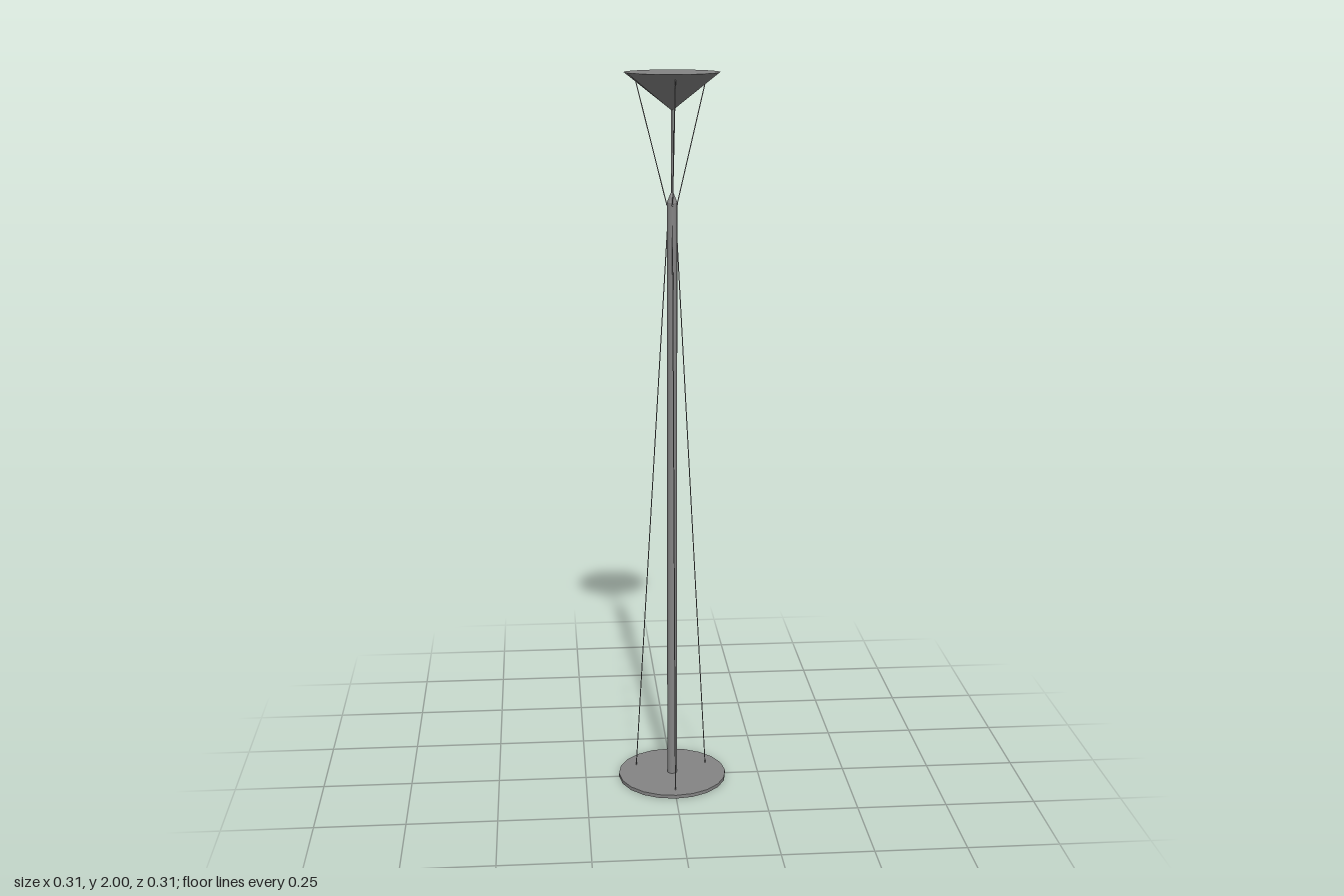
import * as THREE from 'three';

export function createModel() {
  const group = new THREE.Group();
  const material = new THREE.MeshStandardMaterial({ color: 0x848484 });

  function add(name, geometry, y = 0) {
    const mesh = new THREE.Mesh(geometry, material);
    mesh.name = name;
    mesh.position.y = y;
    group.add(mesh);
    return mesh;
  }

  // Thin straight cable between two points
  function cable(name, from, to) {
    const dir = to.clone().sub(from);
    const mesh = add(name, new THREE.CylinderGeometry(0.0015, 0.0015, dir.length(), 6));
    mesh.position.copy(from).add(to).multiplyScalar(0.5);
    mesh.quaternion.setFromUnitVectors(new THREE.Vector3(0, 1, 0), dir.normalize());
  }

  // Flat round base
  add('base', new THREE.CylinderGeometry(0.154, 0.154, 0.01, 20), 0.005);

  // Main pole with a tapered tip, and the slim stem above it
  add('pole', new THREE.CylinderGeometry(0.014, 0.014, 1.65, 12), 0.835);
  add('poleTip', new THREE.CylinderGeometry(0.004, 0.014, 0.025, 12), 1.6725);
  add('stem', new THREE.CylinderGeometry(0.003, 0.003, 0.24, 8), 1.79);

  // Closed conical shade, point down
  add('shade', new THREE.CylinderGeometry(0.127, 0, 0.1, 20), 1.95);

  // Three cables down to the base and three up to the shade: one in front, two behind
  for (const a of [0, 2.05, -2.05]) {
    const at = (r, y) => new THREE.Vector3(Math.sin(a) * r, y, Math.cos(a) * r);
    cable('lowerCable', at(a === 0 ? 0.119 : 0.114, 0.008), at(0.013, 1.6));
    cable('upperCable', at(0.016, 1.655), at(0.108, 1.987));
    // Small eyelet where the cable meets the pole
    const eyelet = add('eyelet', new THREE.SphereGeometry(0.003, 8, 6));
    eyelet.position.copy(at(0.015, 1.654));
  }
  return group;
}
